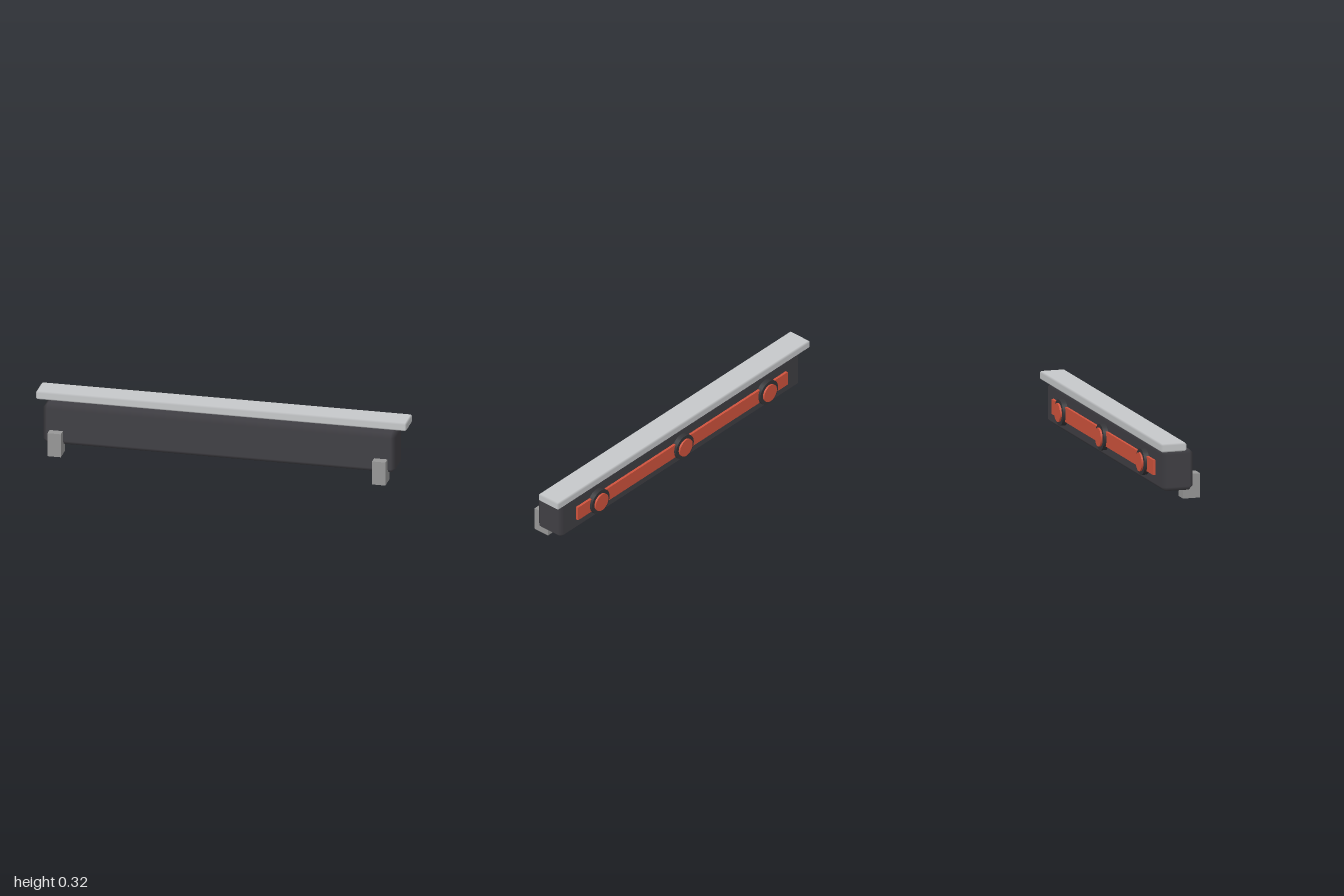
import * as THREE from 'three';
import { ConvexGeometry } from 'three/addons/geometries/ConvexGeometry.js';

const material = (name, color) => {
  const m = new THREE.MeshStandardMaterial({ color });
  m.name = name;
  return m;
};

// Box with single-step chamfers; flat faces, softly shaded bevels
function chamferedBox(w, h, d, c) {
  const half = [w / 2, h / 2, d / 2];
  const points = [];
  for (let axis = 0; axis < 3; axis++)
    for (const sx of [-1, 1]) for (const sy of [-1, 1]) for (const sz of [-1, 1]) {
      const p = [sx, sy, sz].map((s, i) => s * (i === axis ? half[i] : half[i] - c));
      points.push(new THREE.Vector3(...p));
    }
  const geo = new ConvexGeometry(points);
  const pos = geo.attributes.position;
  // each corner belongs to exactly one flat face and takes its normal
  for (let i = 0; i < pos.count; i++) {
    const p = [pos.getX(i), pos.getY(i), pos.getZ(i)];
    const n = p.map((v, k) => (Math.abs(v) > half[k] - c / 2 ? Math.sign(v) : 0));
    geo.attributes.normal.setXYZ(i, ...n);
  }
  return geo;
}

export function createModel() {
  const group = new THREE.Group();
  group.name = 'bar';
  const charcoal = material('charcoal', 0x403f44);
  const black = material('black', 0x343437);
  const silver = material('silver', 0xc6c8ca);
  const grey = material('grey', 0x979797);
  const red = material('red', 0xd0533d);

  const add = (name, geo, mat, x, y, z) => {
    const mesh = new THREE.Mesh(geo, mat);
    mesh.name = name;
    mesh.position.set(x, y, z);
    group.add(mesh);
    return mesh;
  };

  // main beam and overhanging top plate
  add('body', chamferedBox(1.9, 0.22, 0.174, 0.023), charcoal, 0, 0.16, -0.004);
  add('topPlate', chamferedBox(2, 0.046, 0.142, 0.009), silver, 0, 0.295, -0.044);

  // front mounting blocks
  for (const side of [-1, 1])
    add(side > 0 ? 'leftFoot' : 'rightFoot',
      new THREE.BoxGeometry(0.072, 0.13, 0.095), grey, side * 0.875, 0.065, 0.0825);

  // rear light strip with three round lamps
  add('lightStrip', new THREE.BoxGeometry(1.66, 0.08, 0.025), red, 0, 0.16, -0.0925);
  const ring = new THREE.CylinderGeometry(0.07, 0.07, 0.04, 32).rotateX(-Math.PI / 2);
  const lens = new THREE.CylinderGeometry(0.05, 0.05, 0.03, 32).rotateX(-Math.PI / 2);
  for (const x of [-0.667, 0, 0.667]) {
    add('lampHousing', ring, black, x, 0.16, -0.099);
    add('lampLens', lens, red, x, 0.16, -0.114);
  }
  return group;
}
